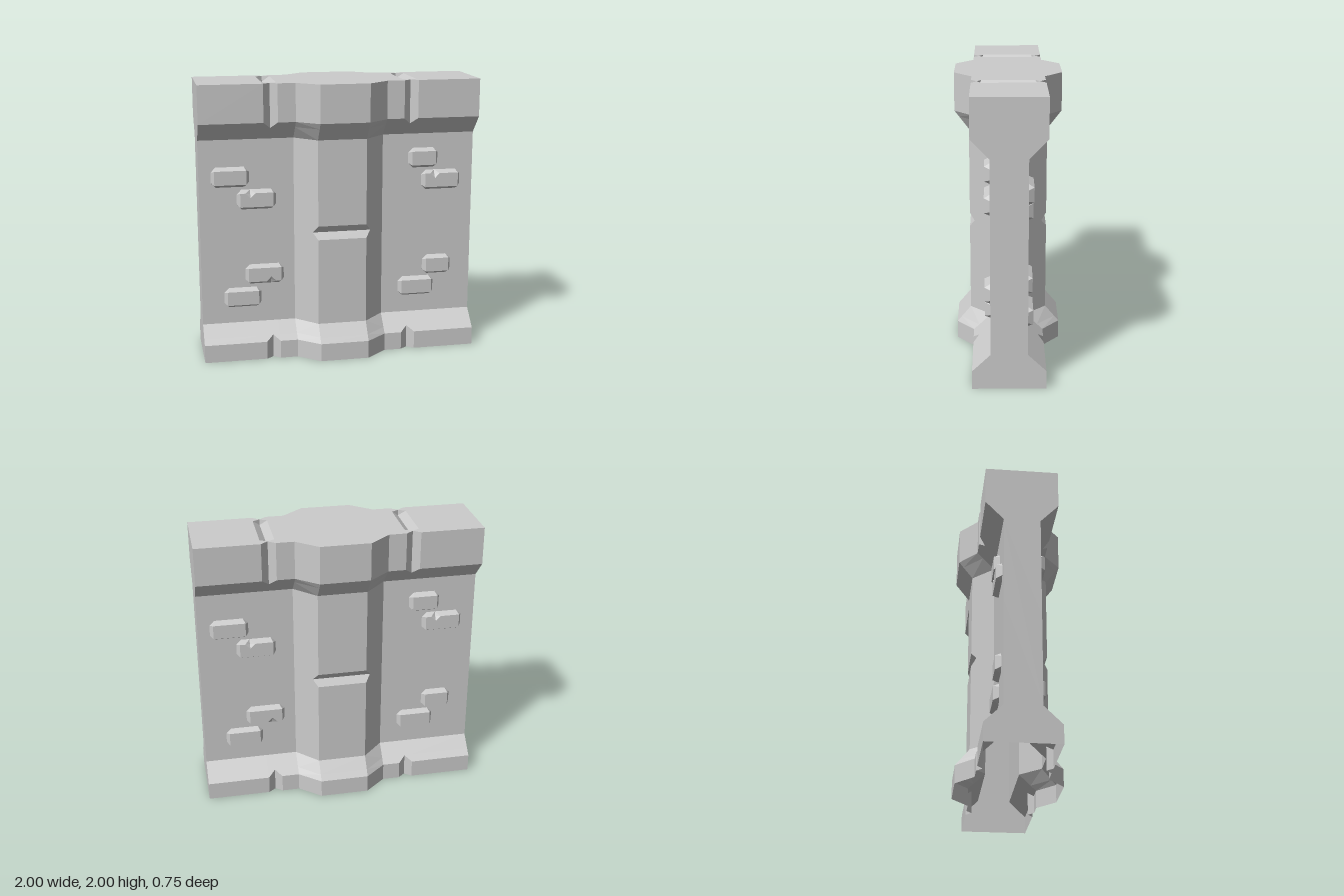
import * as THREE from 'three';

const material = new THREE.MeshStandardMaterial({ color: 0xcccccc, flatShading: true, side: THREE.DoubleSide });

function named(name, geometry) {
  const mesh = new THREE.Mesh(geometry, material);
  mesh.name = name;
  return mesh;
}

// Flat faces from polygons (counter-clockwise from outside), each cut as a fan from its first corner
function facets(polygons) {
  const pos = [];
  for (const p of polygons)
    for (let i = 1; i < p.length - 1; i++) pos.push(...p[0], ...p[i], ...p[i + 1]);
  const g = new THREE.BufferGeometry();
  g.setAttribute('position', new THREE.Float32BufferAttribute(pos, 3));
  g.computeVertexNormals();
  return g;
}

const GROOVE_Z = 0.21;
// Height rows: [y, flare], where flare 0 is the plain wall and 1 the full foot or cap
const ROWS = [[0, 1], [0.13, 1], [0.168, 0.68], [0.25, 0], [0.88, 0], [0.93, 0], [0.98, 0],
  [1.6, 0], [1.688, 0.68], [1.73, 1], [2, 1]];
const HALF_COLUMNS = [0.175, 0.325, 0.45, 0.5, 0.55, 1];
const COLUMNS = [...HALF_COLUMNS.map((x) => -x).reverse(), ...HALF_COLUMNS];

// Point of the wall front for one column and row
function facePoint(x, [y, flare]) {
  const ax = Math.abs(x);
  const wall = 0.125 + 0.125 * flare;
  if (ax === 0.175) {
    // the pilaster dips into a horizontal V notch at mid height
    return y === 0.93 ? [Math.sign(x) * 0.21, y, 0.24] : [x, y, 0.275 + 0.1 * flare];
  }
  return [x, y, ax === 0.5 ? Math.min(wall, GROOVE_Z) : wall];
}

function wallFace() {
  const polygons = [];
  for (let r = 0; r < ROWS.length - 1; r++)
    for (let c = 0; c < COLUMNS.length - 1; c++) {
      const p00 = facePoint(COLUMNS[c], ROWS[r]), p10 = facePoint(COLUMNS[c + 1], ROWS[r]);
      const p01 = facePoint(COLUMNS[c], ROWS[r + 1]), p11 = facePoint(COLUMNS[c + 1], ROWS[r + 1]);
      // split along the outer diagonal so groove ends stay crisp
      polygons.push(p00[2] + p11[2] >= p10[2] + p01[2] ? [p00, p10, p11, p01] : [p10, p11, p01, p00]);
    }
  return facets(polygons);
}

// End of the wall at x = 1
function wallEnd() {
  const side = ROWS.map((row) => facePoint(1, row));
  const outline = [...side.map((p) => new THREE.Vector2(p[2], p[1])),
    ...side.map((p) => new THREE.Vector2(-p[2], p[1])).reverse()];
  return new THREE.ShapeGeometry(new THREE.Shape(outline)).rotateY(Math.PI / 2).translate(1, 0, 0);
}

// Opening of a groove across the top
const grooveOutline = (x) => [[x - 0.05, -0.18], [x, -0.209], [x + 0.05, -0.18],
  [x + 0.05, 0.18], [x, 0.209], [x - 0.05, 0.18]];

function wallTop() {
  const front = COLUMNS.map((x) => facePoint(x, ROWS[ROWS.length - 1]));
  const toVectors = (list) => list.map(([x, z]) => new THREE.Vector2(x, z));
  const shape = new THREE.Shape(toVectors([...front.map((p) => [p[0], -p[2]]),
    ...front.map((p) => [p[0], p[2]]).reverse()]));
  for (const x of [-0.5, 0.5]) shape.holes.push(new THREE.Path(toVectors(grooveOutline(x))));
  return new THREE.ShapeGeometry(shape).rotateX(-Math.PI / 2).translate(0, 2, 0);
}

function topGroove(x) {
  const [a, b, c, d, e, f] = grooveOutline(x).map(([px, pz]) => [px, 2, pz]);
  const back = [x, 1.96, -0.205], front = [x, 1.96, 0.205];
  return facets([[a, f, front, back], [d, c, back, front],
    [b, a, back], [c, b, back], [f, e, front], [e, d, front]]);
}

// Raised brick with cut corners; chip is the x of an optional nick in its top edge
function brick(w, h, chip) {
  const cut = 0.035, inset = 0.022, depth = 0.04;
  const iw = w - inset, ih = h - inset;
  const outer = [[w, -h + cut, 0], [w, h - cut, 0], [w - cut, h, 0], [-w + cut, h, 0],
    [-w, h - cut, 0], [-w, -h + cut, 0], [-w + cut, -h, 0], [w - cut, -h, 0]];
  const [br, tr, tl, bl] = [[iw, -ih, depth], [iw, ih, depth], [-iw, ih, depth], [-iw, -ih, depth]];
  const polygons = [[outer[0], outer[1], tr, br], [outer[1], outer[2], tr], [outer[3], outer[4], tl],
    [outer[4], outer[5], bl, tl], [outer[5], outer[6], bl], [outer[6], outer[7], br, bl], [outer[7], outer[0], br]];
  if (chip === undefined) {
    polygons.push([outer[2], outer[3], tl, tr], [br, tr, tl, bl]);
  } else {
    const left = [chip - 0.035, ih, depth], right = [chip + 0.035, ih, depth];
    const tip = [chip, ih - 0.035, depth], edge = [chip, h, 0], pit = [chip, h - 0.03, 0.018];
    polygons.push([tip, left, tl, bl, br, tr, right],
      [outer[2], edge, right, tr], [edge, outer[3], tl, left],
      [left, tip, pit], [tip, right, pit], [right, edge, pit], [edge, left, pit]);
  }
  return facets(polygons);
}

// Bricks: left, right, bottom, top, chip x, chipped from below
const BRICKS = [
  [-0.915, -0.645, 1.26, 1.405],
  [-0.735, -0.455, 1.095, 1.24, -0.64],
  [-0.685, -0.405, 0.54, 0.685, -0.5, true],
  [-0.84, -0.57, 0.37, 0.515],
  [0.515, 0.735, 1.35, 1.495],
  [0.615, 0.905, 1.185, 1.33, 0.71],
  [0.635, 0.85, 0.54, 0.685],
  [0.45, 0.72, 0.38, 0.525],
];

// One face of the wall with its bricks and one end
function wallHalf() {
  const half = new THREE.Group();
  half.add(named('wallFace', wallFace()), named('wallEnd', wallEnd()));
  for (const [x0, x1, y0, y1, chipX, below] of BRICKS) {
    const cx = (x0 + x1) / 2;
    const chip = chipX === undefined ? undefined : (chipX - cx) * (below ? -1 : 1);
    const mesh = named('brick', brick((x1 - x0) / 2, (y1 - y0) / 2, chip));
    mesh.position.set(cx, (y0 + y1) / 2, 0.125);
    if (below) mesh.rotation.z = Math.PI;
    half.add(mesh);
  }
  return half;
}

export function createModel() {
  const model = new THREE.Group();
  model.name = 'wallSegment';
  const front = wallHalf();
  front.name = 'frontHalf';
  const back = front.clone();
  back.name = 'backHalf';
  back.rotation.y = Math.PI;
  model.add(front, back, named('wallTop', wallTop()));
  for (const x of [-0.5, 0.5]) model.add(named('topGroove', topGroove(x)));
  return model;
}
